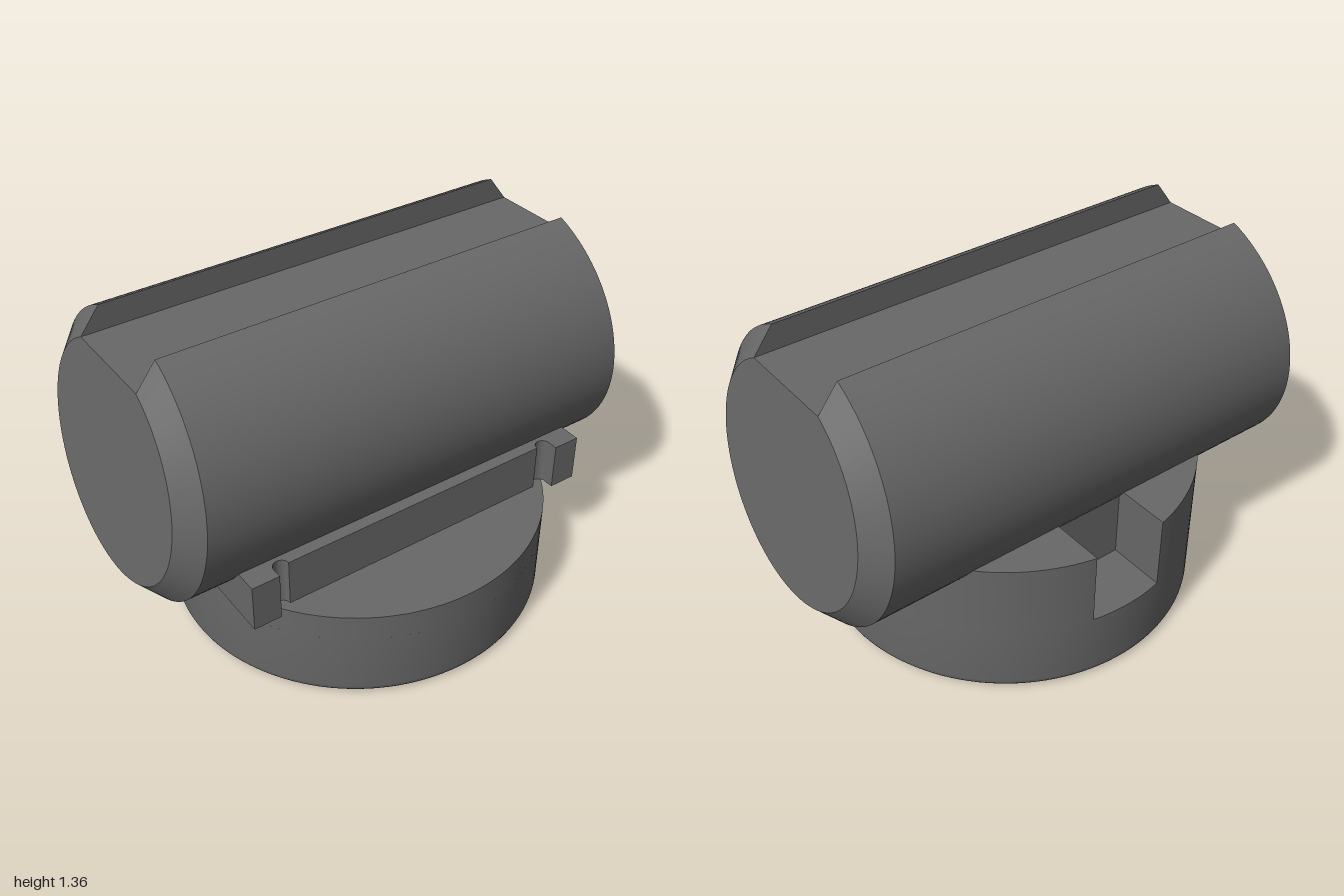
import * as THREE from 'three';
import { toCreasedNormals } from 'three/addons/utils/BufferGeometryUtils.js';

const R = 0.735;                       // base radius
const material = new THREE.MeshStandardMaterial({ color: 0x686868 });

function part(name, geometry) {
  const flat = geometry.index ? geometry.toNonIndexed() : geometry;
  const mesh = new THREE.Mesh(toCreasedNormals(flat, 0.5), material);
  mesh.name = name;
  return mesh;
}

// Plan outline (shape y = -z) raised from y0 to y1
function slab(name, shape, y0, y1) {
  const geo = new THREE.ExtrudeGeometry(shape, { depth: y1 - y0, bevelEnabled: false, curveSegments: 64 });
  geo.rotateX(-Math.PI / 2).translate(0, y0, 0);
  return part(name, geo);
}

// Horizontal drum with leaning, chamfered ends and a slot along the top
function drumGeometry() {
  const N = 96, yc = 0.87, zc = -0.075, half = 0.2025;
  const outerX = (y) => 0.92 - (y - 0.345) * 0.0743;
  const innerX = (y) => 1.0 - (y - 0.4325) * 0.0955;
  const ring = (r, side, xAt) => {
    const a = Math.asin(half / r);
    return Array.from({ length: N + 1 }, (_, i) => {
      const t = a + (2 * Math.PI - 2 * a) * i / N;
      const y = yc + r * Math.cos(t);
      return [side * xAt(y), y, zc + r * Math.sin(t)];
    });
  };
  const rings = [
    ring(0.4375, -1, innerX), ring(0.527, -1, outerX),
    ring(0.527, 1, outerX), ring(0.4375, 1, innerX),
  ];
  const pos = [];
  const tri = (a, b, c) => pos.push(...a, ...b, ...c);
  const quad = (a, b, c, d) => { tri(a, b, c); tri(a, c, d); };
  const [iL, oL, oR, iR] = rings;
  // chamfer, body, chamfer
  for (let k = 0; k < 3; k++) {
    for (let i = 0; i < N; i++) {
      quad(rings[k][i], rings[k][i + 1], rings[k + 1][i + 1], rings[k + 1][i]);
    }
  }
  // end faces
  for (let i = 1; i < N; i++) {
    tri(iR[0], iR[i], iR[i + 1]);
    tri(iL[0], iL[i + 1], iL[i]);
  }
  // slot walls and floor
  quad(iL[0], oL[0], oR[0], iR[0]);
  quad(iR[N], oR[N], oL[N], iL[N]);
  quad(iL[0], iR[0], iR[N], iL[N]);
  const geo = new THREE.BufferGeometry();
  geo.setAttribute('position', new THREE.Float32BufferAttribute(pos, 3));
  return geo;
}

export function createModel() {
  const group = new THREE.Group();
  group.name = 'drumOnRoundBase';
  group.add(part('drum', drumGeometry()));

  // Round foot with rounded lower edge and an undercut recess underneath
  const profile = [[0, 0.17], [0.53, 0.17], [0.53, 0.04], [0.495, 0.04], [0.495, 0], [R - 0.04, 0]];
  for (let i = 1; i <= 6; i++) {
    const a = (i / 6) * Math.PI / 2;
    profile.push([R - 0.04 + 0.04 * Math.sin(a), 0.04 - 0.04 * Math.cos(a)]);
  }
  profile.push([R, 0.28], [0, 0.28]);
  group.add(part('foot', new THREE.LatheGeometry(profile.map(([x, y]) => new THREE.Vector2(x, y)), 128)));

  // Middle of the base, notched at the back
  const n = 0.153, depth = 0.49, a = Math.asin(n / R), up = Math.PI / 2;
  const middle = new THREE.Shape();
  middle.absarc(0, 0, R, up + a, up - a + 2 * Math.PI, false);
  middle.lineTo(n, depth);
  middle.lineTo(-n, depth);
  middle.closePath();
  group.add(slab('baseMiddle', middle, 0.28, 0.385));

  // Saddle: round at the back, square front corners, recessed front face with round relief grooves
  const saddle = new THREE.Shape();
  saddle.absarc(0, 0, R, up + a, Math.PI, false);
  saddle.lineTo(-R, -0.45);
  saddle.lineTo(-0.625, -0.45);
  saddle.lineTo(-0.625, -0.41);
  saddle.absarc(-0.595, -0.41, 0.03, Math.PI, 0, true);
  saddle.lineTo(0.565, -0.41);
  saddle.absarc(0.595, -0.41, 0.03, Math.PI, 0, true);
  saddle.lineTo(0.625, -0.45);
  saddle.lineTo(R, -0.45);
  saddle.lineTo(R, 0);
  saddle.absarc(0, 0, R, 0, up - a, false);
  saddle.lineTo(n, depth);
  saddle.lineTo(-n, depth);
  saddle.closePath();
  group.add(slab('saddle', saddle, 0.385, 0.575));

  // Recess floor with four holes on the diagonals
  const plate = new THREE.Shape().absarc(0, 0, 0.53, 0, Math.PI * 2, false);
  for (let i = 0; i < 4; i++) {
    const t = Math.PI / 4 + i * Math.PI / 2;
    plate.holes.push(new THREE.Path().absarc(0.39 * Math.cos(t), 0.39 * Math.sin(t), 0.058, 0, Math.PI * 2, true));
  }
  group.add(slab('recessFloor', plate, 0.09, 0.17));

  // Central boss and locating peg under the base
  const boss = part('centreBoss', new THREE.CylinderGeometry(0.235, 0.235, 0.08, 64));
  boss.position.y = 0.07;
  const peg = part('locatingPeg', new THREE.BoxGeometry(0.07, 0.06, 0.07));
  peg.position.set(0.02, 0.075, 0.365);
  peg.rotation.y = Math.PI / 4;
  group.add(boss, peg);
  return group;
}
